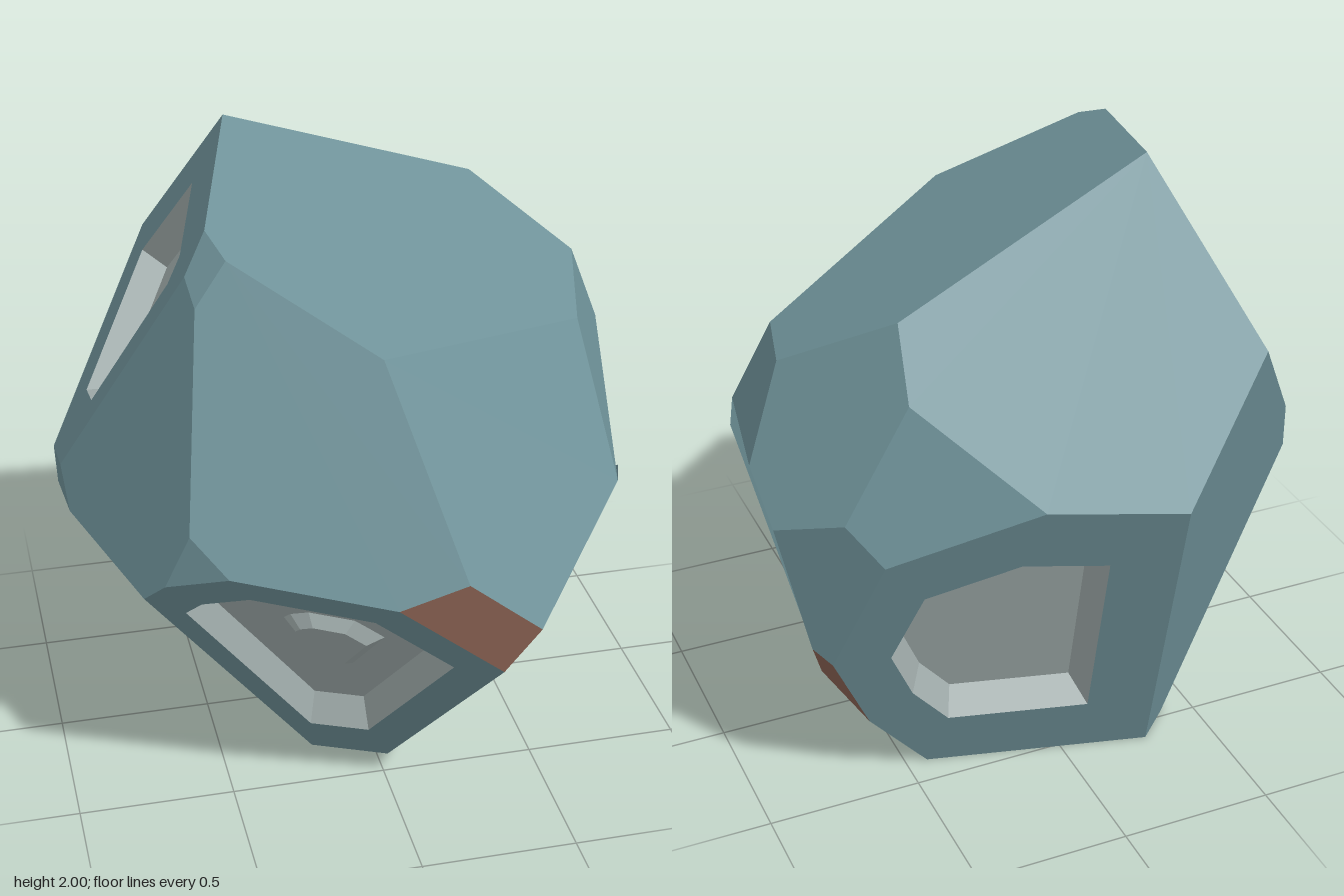
import * as THREE from 'three';

const material = (name, color) => {
  const m = new THREE.MeshStandardMaterial({ color });
  m.name = name;
  return m;
};

// Corners of the cut stone, numbered from the top down to the base
const CORNERS = [
  [-0.33, 2, -0.345], [-0.5, 1.88, 0.28], [-0.46, 1.83, 0.4], [-0.045, 1.58, 0.64],
  [0.71, 1.41, 0.155], [0.81, 1.48, -0.22], [0.53, 1.68, -0.5], [0.555, 1.485, -0.642],
  [0.235, 1.19, -0.893], [-0.19, 1.13, -0.972], [-0.55, 1.48, -0.747], [0.935, 1.19, -0.295],
  [0.92, 1.05, -0.452], [0.76, 1.13, -0.638], [0.67, 1.01, -0.72], [0.83, 0.62, -0.49],
  [0.78, 0.57, -0.53], [0.64, 0.255, -0.447], [0.775, 0.46, -0.4], [0.81, 0.963, 0.34],
  [0.76, 0.985, 0.475], [0.37, 0.79, 0.952], [0.135, 0.99, 0.974], [-0.07, 0.915, 0.95],
  [0.265, 0.635, 0.925], [-0.54, 0.985, 0.78], [-0.64, 1.095, 0.695], [-0.56, 1.7, 0.43],
  [-0.572, 1.76, 0.33], [-0.713, 0.91, 0.655], [-0.768, 0.83, 0.58], [-0.933, 0.89, 0.11],
  [-0.943, 0.995, -0.01], [-0.942, 0.94, -0.24], [-0.935, 0.8, -0.25], [0.035, 0, 0.415],
  [0.43, 0, -0.4], [-0.28, 0, -0.58], [-0.39, 0, -0.475], [-0.2, 0, 0.31],
].map((p) => new THREE.Vector3(...p));

// Plain facets of the shell
const SHELL = {
  topFacet: [0, 1, 2, 3, 4, 5, 6],
  frontUpperFacet: [2, 27, 26, 25, 23, 22, 3],
  frontLeftFacet: [3, 22, 21, 20, 4],
  rightFacet: [28, 32, 31, 30, 29, 26, 27],
  rightLowerFacet: [31, 34, 38, 39, 30],
  rightTopBevel: [1, 28, 27, 2],
  rightFrontBevel: [26, 29, 25],
  rightBackBevel: [32, 33, 34, 31],
  backLowerFacet: [10, 9, 37, 38, 34, 33],
  backUpperFacet: [0, 6, 7, 8, 9, 10],
  backLeftBevel: [7, 13, 14, 8],
  leftUpperFacet: [6, 5, 11, 12, 13, 7],
  leftBackBevel: [12, 15, 16, 14, 13],
  leftFrontFacet: [4, 20, 11, 5],
  leftMiddleFacet: [20, 19, 18, 15, 12, 11],
  baseFacet: [35, 39, 38, 37, 36],
};

const RUST = {
  frontRustPatch: [22, 23, 24, 21],
  backRustPatch: [15, 18, 17, 16],
};

// Facets with a sunken panel: opening size, floor size and depth
const PANELS = {
  frontPanel: { loop: [23, 25, 29, 30, 39, 35, 24], open: 0.748, floor: 0.632, depth: 0.08, boss: true },
  leftPanel: { loop: [21, 24, 35, 36, 17, 18, 19, 20], open: 0.62, floor: 0.53, depth: 0.105 },
  backPanel: { loop: [36, 37, 9, 8, 14, 16, 17], open: 0.62, floor: 0.53, depth: 0.09 },
  rightPanel: { loop: [0, 10, 33, 32, 28, 1], open: 0.62, floor: 0.53, depth: 0.09 },
};

function loopNormal(loop) {
  const n = new THREE.Vector3();
  loop.forEach((p, i) => n.add(new THREE.Vector3().crossVectors(p, loop[(i + 1) % loop.length])));
  return n.normalize();
}

const loopCentre = (loop) =>
  loop.reduce((sum, p) => sum.add(p), new THREE.Vector3()).divideScalar(loop.length);

// Corner loop wound so that it faces away from the middle of the stone
function outwardLoop(ids) {
  const loop = ids.map((i) => CORNERS[i]);
  const out = loopCentre(loop).sub(new THREE.Vector3(0, 0.95, 0));
  return loopNormal(loop).dot(out) < 0 ? loop.reverse() : loop;
}

// Shrinks a loop about its centre, then shifts it
function shrink(loop, scale, shift = new THREE.Vector3()) {
  const c = loopCentre(loop);
  return loop.map((p) => p.clone().sub(c).multiplyScalar(scale).add(c).add(shift));
}

function geometry(points, normal) {
  const g = new THREE.BufferGeometry().setFromPoints(points);
  g.computeVertexNormals();
  if (normal) points.forEach((_, i) => g.attributes.normal.setXYZ(i, normal.x, normal.y, normal.z));
  return g;
}

function cap(loop) {
  const points = [];
  for (let i = 1; i < loop.length - 1; i++) points.push(loop[0], loop[i], loop[i + 1]);
  return geometry(points, loopNormal(loop));
}

// Band of quads from an outer loop to an inner loop
function band(outer, inner, normal) {
  const points = [];
  outer.forEach((a, i) => {
    const j = (i + 1) % outer.length;
    points.push(a, outer[j], inner[j], a, inner[j], inner[i]);
  });
  return geometry(points, normal);
}

export function createModel() {
  const model = new THREE.Group();
  model.name = 'facetedStone';
  const teal = material('teal shell', 0x6f9299);
  const grey = material('pale grey panel', 0xa3afae);
  const rust = material('rust patch', 0x8e6555);

  const add = (parent, name, geo, mat) => {
    const mesh = new THREE.Mesh(geo, mat);
    mesh.name = name;
    parent.add(mesh);
  };

  for (const [name, ids] of Object.entries(SHELL)) add(model, name, cap(outwardLoop(ids)), teal);
  for (const [name, ids] of Object.entries(RUST)) add(model, name, cap(outwardLoop(ids)), rust);

  for (const [name, { loop: ids, open, floor, depth, boss }] of Object.entries(PANELS)) {
    const group = new THREE.Group();
    group.name = name;
    model.add(group);
    const loop = outwardLoop(ids);
    const n = loopNormal(loop);
    const rim = shrink(loop, open);
    const bed = shrink(loop, floor, n.clone().multiplyScalar(-depth));
    add(group, 'frame', band(loop, rim, n), teal);
    add(group, 'recessWalls', band(rim, bed), grey);
    add(group, 'recessFloor', cap(bed), grey);

    // Small raised boss on the floor of the front panel
    if (boss) {
      const side = new THREE.Vector3(0.05, 0, 0.022);
      const foot = shrink(loop, 0.286, side.clone().addScaledVector(n, -depth));
      const top = shrink(loop, 0.2, side.clone().addScaledVector(n, 0.035 - depth));
      add(group, 'bossWalls', band(foot, top), grey);
      add(group, 'bossTop', cap(top), grey);
    }
  }
  return model;
}
